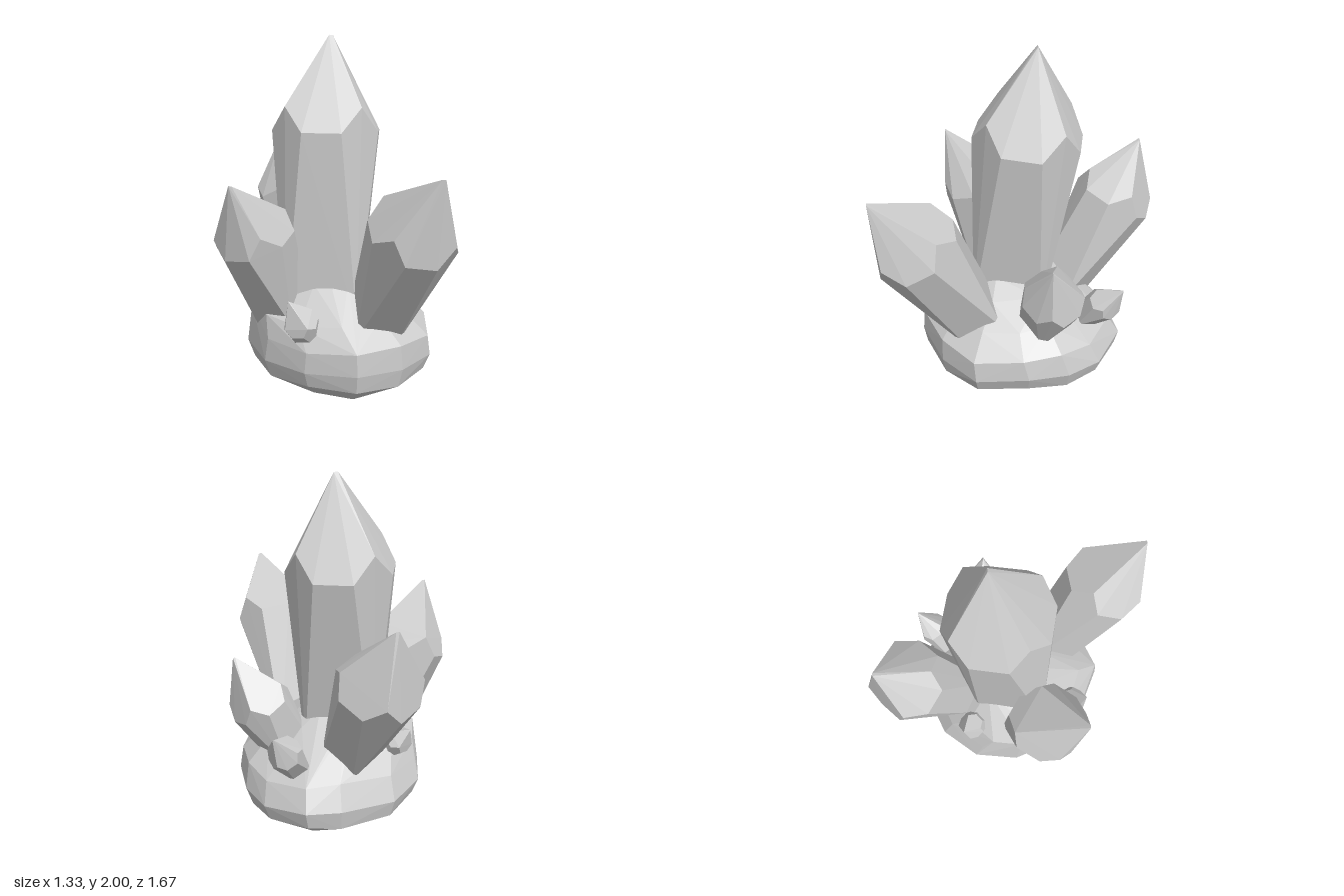
import * as THREE from 'three';
import { ConvexGeometry } from 'three/addons/geometries/ConvexGeometry.js';

const material = new THREE.MeshStandardMaterial({ color: 0xcccccc, flatShading: true });
const UP = new THREE.Vector3(0, 1, 0);

function hull(name, points) {
  const mesh = new THREE.Mesh(new ConvexGeometry(points), material);
  mesh.name = name;
  return mesh;
}

// Four-sided crystal: narrow foot, corners bevelled at the shoulder, ridges running to a point
function crystal({ name, foot, shoulder, tip, radius, turn, taper = 0.7 }) {
  const a = new THREE.Vector3(...foot);
  const b = new THREE.Vector3(...shoulder);
  const axis = b.clone().sub(a).normalize();
  const tilt = new THREE.Quaternion().setFromUnitVectors(UP, axis);
  const around = (centre, degrees, r, lift) => {
    const t = THREE.MathUtils.degToRad(degrees);
    return new THREE.Vector3(r * Math.cos(t), lift, r * Math.sin(t)).applyQuaternion(tilt).add(centre);
  };
  // slightly blunted point
  const point = new THREE.Vector3(...tip);
  const points = [point, point.clone().add(new THREE.Vector3(radius * 0.07, -0.003, 0))];
  for (let k = 0; k < 4; k++) {
    const angle = turn + k * 90;
    points.push(around(a, angle, radius * taper, 0));
    points.push(around(b, angle - 25, radius, -radius * 0.1));
    points.push(around(b, angle + 25, radius, -radius * 0.1));
    points.push(around(b, angle, radius * 0.94, radius * 0.33));
  }
  return hull(name, points);
}

// Rounded boulder: one outline (x, z) scaled ring by ring
function rock() {
  const outline = [
    [0.55, 0.02], [0.49, 0.32], [0.28, 0.5], [0.0, 0.6], [-0.27, 0.46], [-0.47, 0.24],
    [-0.55, 0.0], [-0.5, -0.26], [-0.32, -0.46], [0.0, -0.58], [0.2, -0.59], [0.42, -0.42], [0.52, -0.22],
  ];
  // y, scale x, scale z, centre x, centre z
  const rings = [
    [0.0, 0.5, 0.5, 0.06, 0.05],
    [0.03, 0.76, 0.8, 0.06, 0.01],
    [0.1, 0.93, 0.97, 0.06, 0.0],
    [0.2, 1.0, 1.0, 0.06, 0.0],
    [0.33, 0.96, 0.93, 0.06, 0.03],
    [0.45, 0.84, 0.7, 0.0, 0.04],
    [0.55, 0.58, 0.5, 0.0, 0.03],
    [0.62, 0.36, 0.38, -0.02, 0.03],
  ];
  const points = [];
  rings.forEach(([y, sx, sz, cx, cz], i) => outline.forEach(([x, z], k) => {
    const bump = i < 2 ? 0 : 0.018 * Math.sin(k * 1.9 + i * 0.7);
    points.push(new THREE.Vector3(cx + x * sx, y + bump, cz + z * sz));
  }));
  return hull('rockBase', points);
}

export function createModel() {
  const group = new THREE.Group();
  group.name = 'crystalCluster';
  group.add(rock());
  const crystals = [
    { name: 'mainCrystal', foot: [-0.03, 0.4, 0.04], shoulder: [0.0, 1.5, -0.06], tip: [0.02, 2.0, -0.1], radius: 0.32, turn: 60, taper: 0.9 },
    { name: 'frontCrystal', foot: [0.22, 0.36, 0.25], shoulder: [0.35, 1.03, 0.61], tip: [0.42, 1.36, 0.83], radius: 0.25, turn: 45 },
    { name: 'backCrystal', foot: [-0.03, 0.4, -0.27], shoulder: [-0.13, 0.97, -0.61], tip: [-0.2, 1.31, -0.76], radius: 0.24, turn: 0 },
    { name: 'rightCrystal', foot: [-0.28, 0.4, 0.09], shoulder: [-0.45, 0.92, 0.18], tip: [-0.59, 1.26, 0.38], radius: 0.23, turn: 80 },
    { name: 'leftCrystal', foot: [0.3, 0.35, -0.1], shoulder: [0.48, 0.7, -0.13], tip: [0.61, 0.97, -0.1], radius: 0.18, turn: 12, taper: 0.8 },
    { name: 'smallBackCrystal', foot: [0.27, 0.36, -0.34], shoulder: [0.36, 0.53, -0.46], tip: [0.42, 0.66, -0.55], radius: 0.1, turn: 30, taper: 0.75 },
    { name: 'smallFrontCrystal', foot: [-0.16, 0.34, 0.32], shoulder: [-0.22, 0.47, 0.39], tip: [-0.29, 0.61, 0.41], radius: 0.1, turn: 70, taper: 0.8 },
    { name: 'smallSideCrystal', foot: [-0.24, 0.38, -0.2], shoulder: [-0.31, 0.48, -0.27], tip: [-0.37, 0.56, -0.32], radius: 0.085, turn: 10, taper: 0.8 },
  ];
  crystals.forEach((spec) => group.add(crystal(spec)));
  return group;
}
